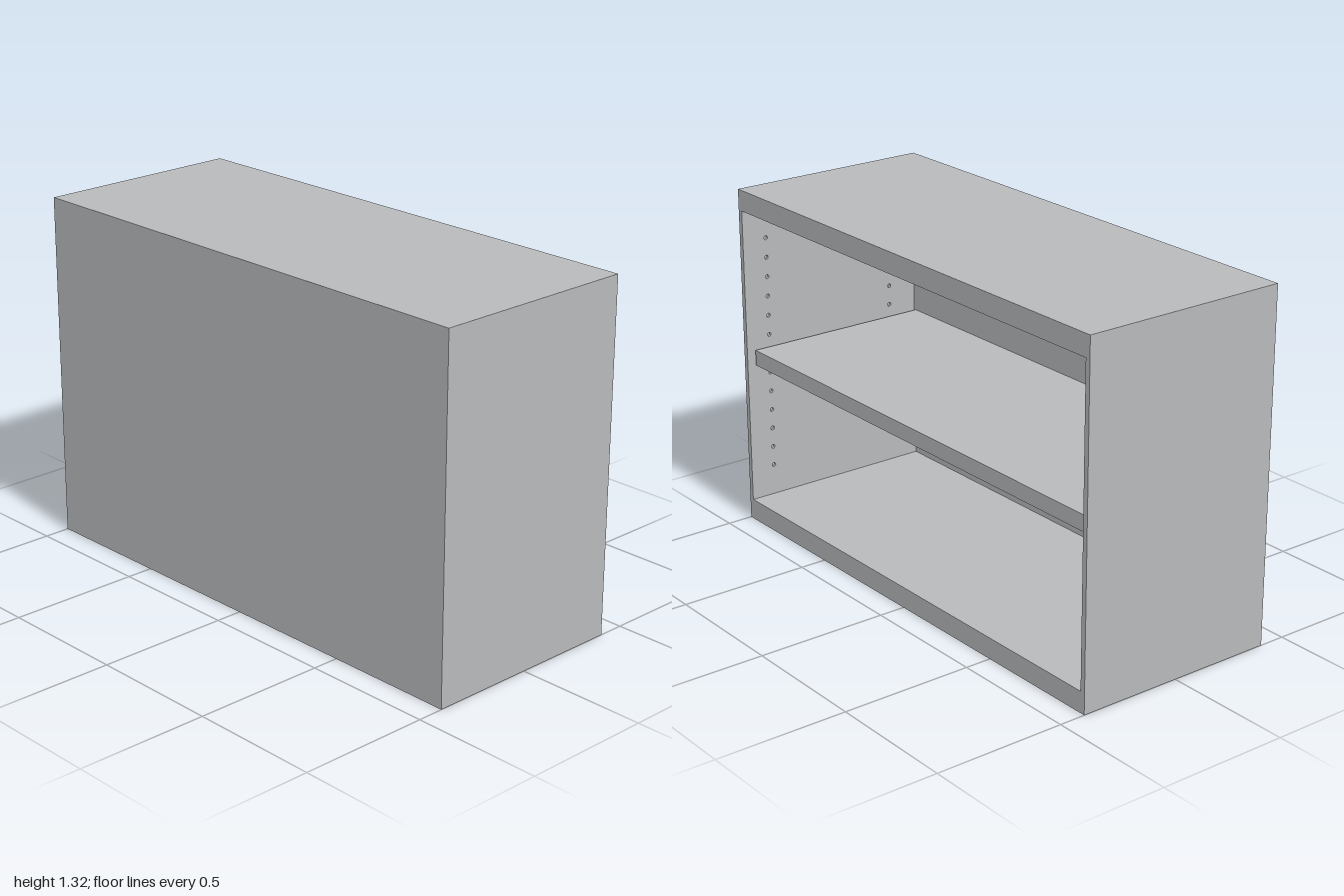
import * as THREE from 'three';

const grey = new THREE.MeshStandardMaterial({ color: 0xb8b9bb });
grey.name = 'light grey laminate';

// Box given by its min and max on each axis
function slab(name, [x0, x1], [y0, y1], [z0, z1]) {
  const mesh = new THREE.Mesh(new THREE.BoxGeometry(x1 - x0, y1 - y0, z1 - z0), grey);
  mesh.name = name;
  mesh.position.set((x0 + x1) / 2, (y0 + y1) / 2, (z0 + z1) / 2);
  return mesh;
}

const DEPTH = 0.4, BOTTOM = 0.08, TOP = 1.24, WALL = 0.02;
const PEG_X = [0.3, -0.26];

// Inner half of a side panel, drilled with two columns of peg holes
function drilledLiner() {
  const shape = new THREE.Shape();
  shape.moveTo(-DEPTH + WALL, BOTTOM);
  shape.lineTo(DEPTH, BOTTOM);
  shape.lineTo(DEPTH, TOP);
  shape.lineTo(-DEPTH + WALL, TOP);
  shape.closePath();
  for (const x of PEG_X) {
    for (let i = 0; i < 13; i++) {
      const hole = new THREE.Path();
      hole.absarc(x, 0.2 + i * 0.0765, 0.008, 0, Math.PI * 2, true);
      shape.holes.push(hole);
    }
  }
  return new THREE.ExtrudeGeometry(shape, { depth: WALL / 2, bevelEnabled: false, curveSegments: 8 });
}

export function createModel() {
  const group = new THREE.Group();
  group.name = 'openShelfCabinet';

  // Carcass: thick top and base, thin back
  group.add(
    slab('topPanel', [-DEPTH, DEPTH], [TOP, 1.32], [-1, 1]),
    slab('basePanel', [-DEPTH, DEPTH], [0, BOTTOM], [-1, 1]),
    slab('backPanel', [-DEPTH, -DEPTH + WALL], [BOTTOM, TOP], [-0.99, 0.99]),
    slab('backRail', [-0.38, -0.35], [1.125, 1.2], [-0.98, 0.98]),
    slab('shelf', [-0.38, 0.37], [0.63, 0.69], [-0.97, 0.97])
  );

  // Side panels with peg holes, and the clips under the shelf
  const linerGeometry = drilledLiner();
  for (const s of [-1, 1]) {
    const span = (a, b) => [Math.min(s * a, s * b), Math.max(s * a, s * b)];
    const side = new THREE.Group();
    side.name = s > 0 ? 'leftSide' : 'rightSide';
    const liner = new THREE.Mesh(linerGeometry, grey);
    liner.name = 'drilledLiner';
    liner.position.z = s > 0 ? 0.98 : -0.99;
    side.add(liner, slab('outerPanel', [-DEPTH, DEPTH], [BOTTOM, TOP], span(0.99, 1)));
    for (const x of PEG_X) {
      side.add(slab('shelfClip', [x - 0.03, x + 0.03], [0.613, 0.63], span(0.93, 0.98)));
    }
    group.add(side);
  }
  return group;
}
